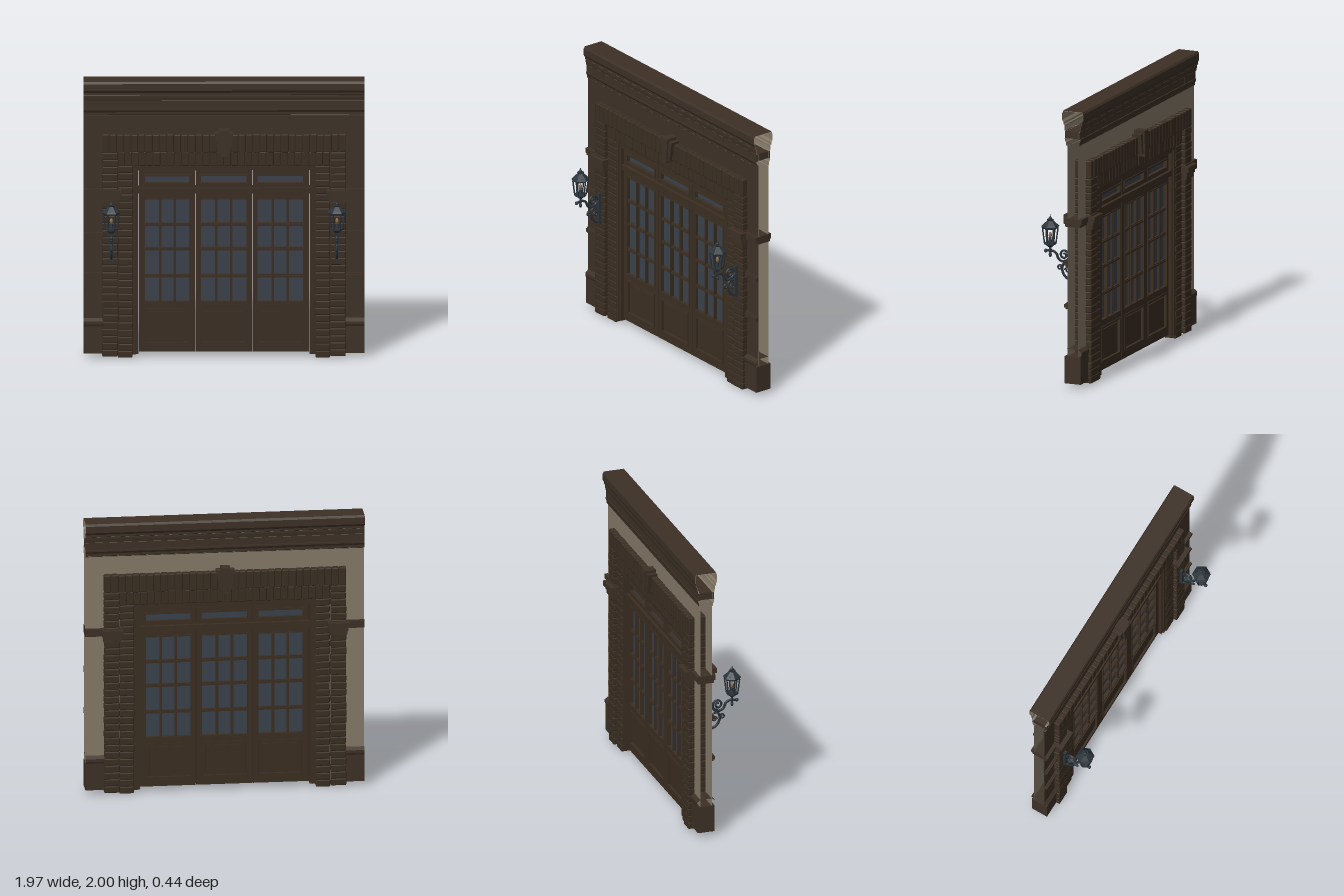
import * as THREE from 'three';
import { RoundedBoxGeometry } from 'three/addons/geometries/RoundedBoxGeometry.js';

const material = (name, color, side = THREE.FrontSide) => {
  const m = new THREE.MeshStandardMaterial({ color, side });
  m.name = name;
  return m;
};

export function createModel() {
  const model = new THREE.Group();
  model.name = 'doorway';
  const stone = material('brown stone', 0x3d3126);
  const brickMat = material('dark brick', 0x3a2e22);
  const wood = material('brown wood', 0x3b2e22);
  const plaster = material('beige plaster', 0x857a69, THREE.DoubleSide);
  const glass = material('blue grey glass', 0x3b424b);
  const iron = material('dark iron', 0x2b343b);
  const wax = material('lamp candle', 0x8a6a48);
  const ZC = -0.098; // middle of the wall's thickness

  const add = (parent, name, geo, mat, x = 0, y = 0, z = 0) => {
    const m = new THREE.Mesh(geo, mat);
    m.name = name;
    m.position.set(x, y, z);
    parent.add(m);
    return m;
  };
  const group = (name, parent = model) => {
    const g = new THREE.Group();
    g.name = name;
    parent.add(g);
    return g;
  };
  // box from its limits
  const box = (parent, name, mat, x0, x1, y0, y1, z0, z1) =>
    add(parent, name, new THREE.BoxGeometry(x1 - x0, y1 - y0, z1 - z0), mat,
      (x0 + x1) / 2, (y0 + y1) / 2, (z0 + z1) / 2);
  const shapeOf = pts => new THREE.Shape(pts.map(p => new THREE.Vector2(...p)));
  const rect = (x0, x1, y0, y1) => [[x0, y0], [x1, y0], [x1, y1], [x0, y1]];
  // flat outline given thickness around the wall's middle
  const slab = (parent, name, mat, shape, half) =>
    add(parent, name, new THREE.ExtrudeGeometry(shape, { depth: half * 2, bevelEnabled: false }), mat, 0, 0, ZC - half);

  // strip with open ends, swept along x from a (y, z) profile
  const sweep = (profile, x0, x1) => {
    const p = [];
    for (let i = 0; i < profile.length - 1; i++) {
      const [ya, za] = profile[i], [yb, zb] = profile[i + 1];
      p.push(x0, ya, za, x1, ya, za, x1, yb, zb, x0, ya, za, x1, yb, zb, x0, yb, zb);
    }
    const g = new THREE.BufferGeometry();
    g.setAttribute('position', new THREE.Float32BufferAttribute(p, 3));
    g.computeVertexNormals();
    return g;
  };

  let seed = 7;
  const rnd = () => (seed = (seed * 16807) % 2147483647) / 2147483647 - 0.5;

  // hollow wall: two skins around the door opening, open at the ends
  const W = 0.983;
  const skin = new THREE.ShapeGeometry(shapeOf([[-W, 0.035], [-0.7, 0.035], [-0.7, 1.45], [0.7, 1.45],
    [0.7, 0.035], [W, 0.035], [W, 1.77], [-W, 1.77]]));
  const wall = group('wall');
  add(wall, 'wallFront', skin, stone, 0, 0, -0.055);
  add(wall, 'wallFrontLining', skin, plaster, 0, 0, -0.058);
  add(wall, 'wallBack', skin, plaster, 0, 0, -0.141);

  // cornice, the same moulding on both faces
  const half = [[1.748, 0.042], [1.757, 0.053], [1.775, 0.053], [1.79, 0.061], [1.802, 0.061], [1.802, 0.047],
    [1.86, 0.047], [1.86, 0.062], [1.885, 0.066], [1.9, 0.066], [1.905, 0.073], [1.92, 0.073], [1.937, 0.083],
    [1.985, 0.083], [2, 0.074]];
  const ring = (k, s = 0) => [...half.map(([y, d]) => [y - s, ZC + d * k - s]),
    ...half.slice().reverse().map(([y, d]) => [y - s, ZC - d * k + s])];
  const cornice = group('cornice');
  add(cornice, 'corniceMoulding', sweep(ring(1), -W, W), stone);
  add(cornice, 'corniceLining', sweep(ring(1, 0.003), -W, W), plaster);
  const cuts = [-W, -0.785, -0.555, -0.325, -0.095, 0.135, 0.365, 0.595, 0.83, W];
  for (let i = 0; i < cuts.length - 1; i++)
    box(cornice, 'friezeBlock', stone, cuts[i] + 0.002, cuts[i + 1] - 0.002, 1.805, 1.857, -0.156, -0.04);

  // bricks with soft edges
  const brick = (parent, x0, x1, y0, y1, d) => {
    const depth = 2 * d + rnd() * 0.006;
    add(parent, 'brick', new RoundedBoxGeometry(x1 - x0 - 0.002, y1 - y0 - 0.002, depth, 1, 0.007), brickMat,
      (x0 + x1) / 2, (y0 + y1) / 2, ZC);
  };
  const column = (name, x0, x1, y0, y1, n, d) => {
    const g = group(name), h = (y1 - y0) / n;
    box(g, 'mortar', brickMat, x0 + 0.005, x1 - 0.005, y0 + 0.005, y1, ZC - d + 0.006, ZC + d - 0.006);
    for (let i = 0; i < n; i++) {
      const e = rnd() * 0.005;
      brick(g, x0 + e, x1 + e, y0 + i * h, y0 + (i + 1) * h, d);
    }
  };
  const lintel = (name, x, y0, y1, n, d) => {
    const g = group(name), w = 2 * x / n;
    box(g, 'mortar', brickMat, -x + 0.005, x - 0.005, y0 + 0.005, y1 - 0.006, ZC - d + 0.006, ZC + d - 0.006);
    for (let i = 0; i < n; i++) brick(g, -x + i * w, -x + (i + 1) * w, y0 + rnd() * 0.004, y1 + rnd() * 0.004, d);
  };
  lintel('outerLintel', 0.853, 1.49, 1.62, 34, 0.086);
  lintel('innerLintel', 0.742, 1.388, 1.49, 30, 0.064);

  for (const s of [-1, 1]) {
    const side = s > 0 ? 'left' : 'right';
    const span = (a, b) => s > 0 ? [a, b] : [-b, -a];
    column(side + 'OuterPier', ...span(0.742, 0.853), 0.015, 1.49, 29, 0.086);
    column(side + 'InnerPier', ...span(0.638, 0.742), 0, 1.388, 27, 0.062);

    // pier band and the string courses beside it
    const trim = group(side + 'Trim');
    box(trim, 'pierCap', stone, ...span(0.722, 0.872), 1.185, 1.222, -0.216, 0.02);
    box(trim, 'pierCapStep', stone, ...span(0.73, 0.864), 1.16, 1.185, -0.203, 0.008);
    box(trim, 'pierCapNeck', stone, ...span(0.736, 0.858), 1.13, 1.16, -0.195, -0.002);
    box(trim, 'wallBand', stone, ...span(0.85, W), 1.185, 1.222, -0.166, -0.03);
    box(trim, 'wallBandStep', stone, ...span(0.85, W), 1.165, 1.185, -0.156, -0.04);
    for (const y of [0.875, 0.57]) {
      box(trim, 'stringCourse', stone, ...span(0.85, W), y + 0.01, y + 0.034, -0.056, -0.034);
      box(trim, 'stringCourseStep', stone, ...span(0.85, W), y, y + 0.044, -0.056, -0.044);
    }
    box(trim, 'plinth', stone, ...span(0.84, W), 0.035, 0.23, -0.16, -0.036);
    const top = [[0.23, -0.036], [0.245, -0.03], [0.265, -0.03], [0.285, -0.055],
      [0.285, -0.141], [0.265, -0.166], [0.245, -0.166], [0.23, -0.16]];
    add(trim, 'plinthMoulding', sweep(top, ...span(0.84, W)), stone);
  }

  // keystone
  const wedge = (b, t, y0, y1) => shapeOf([[-b, y0], [b, y0], [t, y1], [-t, y1]]);
  const key = group('keystone');
  slab(key, 'keystoneBody', stone, wedge(0.04, 0.066, 1.49, 1.635), 0.11);
  slab(key, 'keystoneCentre', stone, wedge(0.021, 0.034, 1.468, 1.657), 0.123);

  // door frame
  const frame = group('doorFrame');
  const portal = (x, y, xi, yi) => shapeOf([[-x, 0.025], [-xi, 0.025], [-xi, yi], [xi, yi], [xi, 0.025], [x, 0.025], [x, y], [-x, y]]);
  slab(frame, 'outerJamb', wood, portal(0.642, 1.392, 0.615, 1.372), 0.056);
  slab(frame, 'innerJamb', wood, portal(0.616, 1.373, 0.598, 1.353), 0.046);
  box(frame, 'transomRail', wood, -0.598, 0.598, 1.185, 1.222, ZC - 0.044, ZC + 0.044);

  // framed leaf with square holes cut in it
  const panelled = (parent, name, outer, holes) => {
    const s = shapeOf(rect(...outer));
    holes.forEach(h => s.holes.push(new THREE.Path(rect(...h).reverse().map(p => new THREE.Vector2(...p)))));
    slab(parent, name, wood, s, 0.025);
  };
  const ringTrim = (parent, x0, x1, y0, y1, w, d) => {
    const s = shapeOf(rect(x0 - w, x1 + w, y0 - w, y1 + w));
    s.holes.push(new THREE.Path(rect(x0, x1, y0, y1).reverse().map(p => new THREE.Vector2(...p))));
    slab(parent, 'moulding', wood, s, d);
  };
  const pane = (parent, x0, x1, y0, y1) =>
    box(parent, 'glass', glass, x0, x1, y0, y1, ZC - 0.004, ZC + 0.004);

  for (const [name, x0, x1, a, b] of [['rightDoor', -0.594, -0.202, -0.552, -0.24],
    ['middleDoor', -0.198, 0.198, -0.161, 0.157], ['leftDoor', 0.202, 0.594, 0.236, 0.552]]) {
    const door = group(name);
    panelled(door, 'leaf', [x0, x1, 0.037, 1.183], [[a, b, 0.4, 1.137], [a + 0.01, b - 0.01, 0.105, 0.34]]);
    pane(door, a, b, 0.4, 1.137);
    ringTrim(door, a, b, 0.4, 1.137, 0.009, 0.03);
    for (let i = 1; i < 3; i++) {
      const x = a + (b - a) * i / 3;
      box(door, 'mullion', wood, x - 0.0085, x + 0.0085, 0.4, 1.137, ZC - 0.022, ZC + 0.022);
      box(door, 'mullionBead', wood, x - 0.004, x + 0.004, 0.4, 1.137, ZC - 0.028, ZC + 0.028);
    }
    for (const y of [0.955, 0.778, 0.583]) {
      box(door, 'glazingBar', wood, a, b, y - 0.0115, y + 0.0115, ZC - 0.021, ZC + 0.021);
      box(door, 'glazingBead', wood, a, b, y - 0.005, y + 0.005, ZC - 0.027, ZC + 0.027);
    }
    box(door, 'lowerPanel', wood, a + 0.01, b - 0.01, 0.105, 0.34, ZC - 0.012, ZC + 0.012);
    box(door, 'raisedField', wood, a + 0.027, b - 0.027, 0.122, 0.323, ZC - 0.02, ZC + 0.02);
    ringTrim(door, a + 0.01, b - 0.01, 0.105, 0.34, 0.012, 0.031);
    // transom light above the leaf
    panelled(door, 'transomFrame', [x0, x1, 1.224, 1.349], [[a, b, 1.258, 1.306]]);
    ringTrim(door, a, b, 1.258, 1.306, 0.014, 0.031);
    pane(door, a, b, 1.258, 1.306);
  }

  // wall lanterns on scrolled brackets, drawn in the (z, y) plane
  const curve = pts => new THREE.CatmullRomCurve3(pts.map(([z, y]) => new THREE.Vector3(0, y, z)));
  const spiral = (z, y, r, turns, start, dir) => Array.from({ length: 22 }, (_, i) => {
    const t = i / 21, a = start + dir * t * turns * Math.PI * 2, q = r * (1 - 0.78 * t);
    return [z + q * Math.cos(a), y + q * Math.sin(a)];
  });
  const lantern = name => {
    const g = group(name), Z = 0.16;
    const hex = (part, rt, rb, y0, y1, mat = iron) => {
      const geo = new THREE.CylinderGeometry(rt, rb, y1 - y0, 6).toNonIndexed();
      geo.computeVertexNormals();
      add(g, part, geo, mat, 0, (y0 + y1) / 2, Z).rotation.y = Math.PI / 6;
    };
    const tube = (part, pts, r) => add(g, part, new THREE.TubeGeometry(curve(pts), 40, r, 6), iron);
    const ball = (r, y, z) => add(g, 'knob', new THREE.SphereGeometry(r, 10, 8), iron, 0, y, z);
    box(g, 'wallPlate', iron, -0.012, 0.012, 0.715, 0.95, -0.014, 0.008);
    tube('arm', [[0.195, 0.925], [0.15, 0.93], [0.115, 0.915], [0.095, 0.875], [0.065, 0.86], [0.03, 0.87], [0.003, 0.9]], 0.009);
    tube('largeScroll', spiral(0.053, 0.908, 0.042, 1.6, -Math.PI / 2, -1), 0.008);
    tube('lowerCurve', [[0.003, 0.732], [0.035, 0.745], [0.06, 0.775], [0.068, 0.81], [0.055, 0.845], [0.02, 0.85]], 0.009);
    tube('smallScroll', spiral(0.085, 0.815, 0.022, 1.3, Math.PI, -1), 0.006);
    tube('footScroll', spiral(0.03, 0.8, 0.02, 1.3, 0, 1), 0.005);
    ball(0.013, 0.925, 0.195);
    ball(0.012, 0.9, Z);
    add(g, 'stem', new THREE.CylinderGeometry(0.008, 0.008, 0.09, 8), iron, 0, 0.93, Z);
    hex('cup', 0.038, 0.015, 0.955, 0.975);
    hex('base', 0.044, 0.044, 0.975, 0.988);
    hex('topRing', 0.06, 0.056, 1.09, 1.104);
    hex('eaves', 0.056, 0.066, 1.104, 1.116);
    hex('roof', 0.022, 0.054, 1.116, 1.146);
    hex('crown', 0.026, 0.022, 1.146, 1.154);
    ball(0.013, 1.16, Z);
    add(g, 'finial', new THREE.ConeGeometry(0.007, 0.032, 8), iron, 0, 1.177, Z);
    for (let i = 0; i < 6; i++) {
      const a = i * Math.PI / 3, p = (r, y) => new THREE.Vector3(r * Math.cos(a), y, Z + r * Math.sin(a));
      add(g, 'cageBar', new THREE.TubeGeometry(new THREE.LineCurve3(p(0.041, 0.985), p(0.055, 1.095)), 1, 0.0055, 5), iron);
    }
    add(g, 'candleHolder', new THREE.CylinderGeometry(0.009, 0.014, 0.035, 8), iron, 0, 1.003, Z);
    add(g, 'candle', new THREE.SphereGeometry(0.012, 8, 8), wax, 0, 1.04, Z).scale.y = 1.8;
    return g;
  };
  lantern('leftLantern').position.x = 0.79;
  lantern('rightLantern').position.x = -0.79;

  return model;
}
